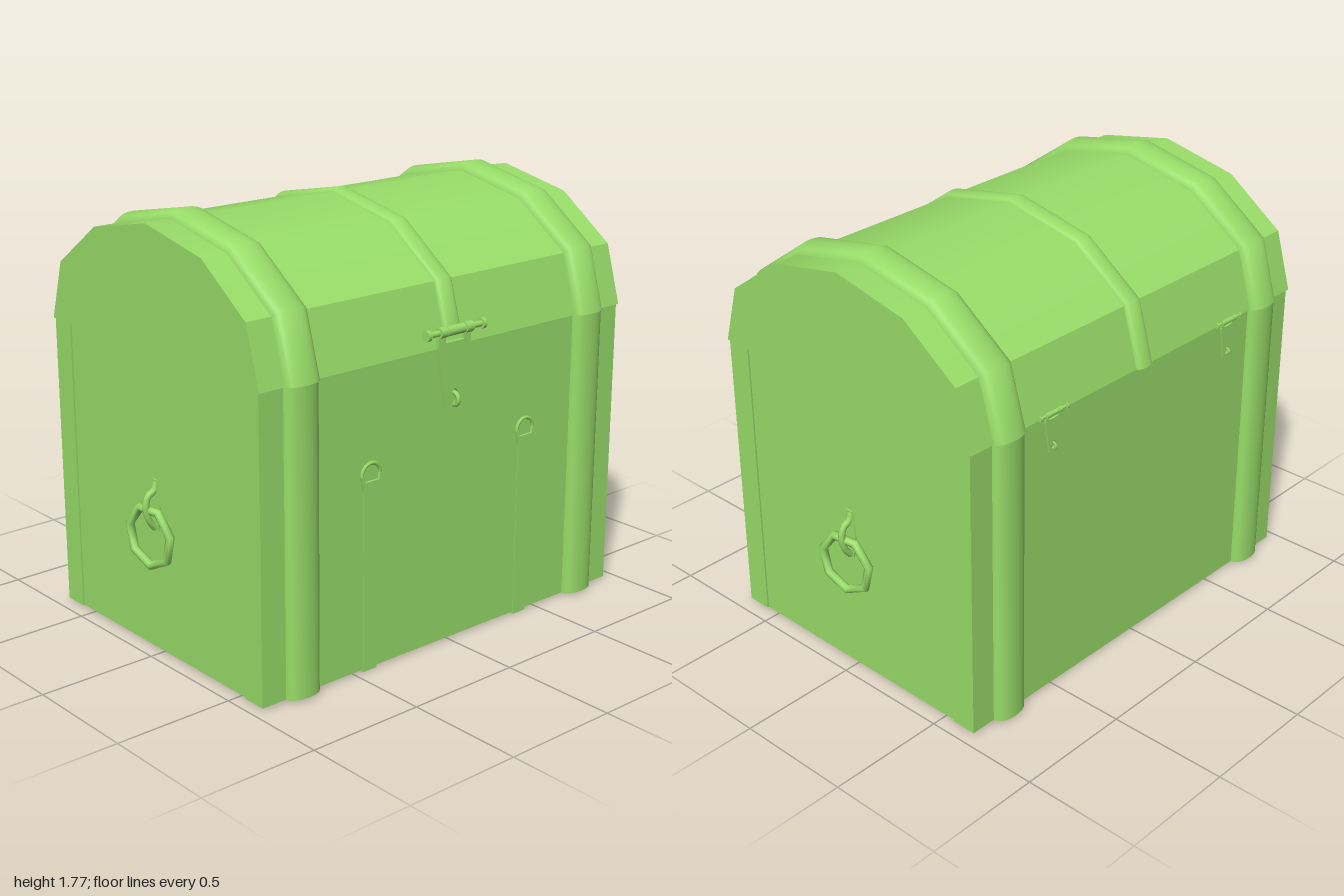
import * as THREE from 'three';
import { toCreasedNormals } from 'three/addons/utils/BufferGeometryUtils.js';

const material = new THREE.MeshStandardMaterial({ color: 0x99dd69, side: THREE.DoubleSide });

// Half outline of the lid arch as [z, y], from the front edge to the crown
const ARCH = [[0.672, 1.24], [0.6, 1.485], [0.345, 1.668], [0, 1.738]];
const FULL_ARCH = [...ARCH, ...ARCH.slice(0, 3).reverse().map(([z, y]) => [-z, y])];

function add(parent, name, geometry, x = 0, y = 0, z = 0) {
  const mesh = new THREE.Mesh(geometry, material);
  mesh.name = name;
  mesh.position.set(x, y, z);
  parent.add(mesh);
  return mesh;
}

function polygon(points) {
  return new THREE.Shape(points.map(([x, y]) => new THREE.Vector2(x, y)));
}

function extrude(shape, depth) {
  return new THREE.ExtrudeGeometry(shape, { depth, bevelEnabled: false, steps: 1 });
}

// Mitred outward direction at each point of a [z, y] path; the ends point straight out
function outward(path) {
  const normal = (a, b) => new THREE.Vector2(b[1] - a[1], a[0] - b[0]).normalize();
  return path.map((p, i) => {
    if (i === 0) return new THREE.Vector2(1, 0);
    if (i === path.length - 1) return new THREE.Vector2(-1, 0);
    const a = normal(path[i - 1], p);
    const n = a.clone().add(normal(p, path[i + 1])).normalize();
    return n.divideScalar(n.dot(a));
  });
}

// Strap with a domed cross-section, swept along a [z, y] path
function strapGeometry(path, normals, width, depth) {
  const n = 10, positions = [], index = [];
  path.forEach(([z, y], i) => {
    for (let j = 0; j <= n; j++) {
      const a = Math.PI * j / n;
      const lift = depth * Math.pow(Math.sin(a), 0.7) - 0.004;
      positions.push(-Math.cos(a) * width / 2, y + normals[i].y * lift, z + normals[i].x * lift);
    }
  });
  for (let i = 0; i < path.length - 1; i++) {
    for (let j = 0; j < n; j++) {
      const a = i * (n + 1) + j, b = a + n + 1;
      index.push(a, a + 1, b, a + 1, b + 1, b);
    }
  }
  const last = (path.length - 1) * (n + 1);
  for (let j = 1; j < n; j++) {
    index.push(0, j + 1, j, last, last + j, last + j + 1);
  }
  const g = new THREE.BufferGeometry();
  g.setAttribute('position', new THREE.Float32BufferAttribute(positions, 3));
  g.setIndex(index);
  return toCreasedNormals(g, 0.75);
}

function rod(radius, length) {
  return new THREE.CylinderGeometry(radius, radius, length, 10).rotateZ(Math.PI / 2);
}

// Tapered plate hanging from a cross pin, used for the clasp and the hinges
function taperedFitting(name, s) {
  const g = new THREE.Group();
  g.name = name;
  const plate = polygon([[-0.085, -0.06], [-0.04, -0.33], [0.04, -0.33], [0.085, -0.06],
    [0.085, 0.0], [0.05, 0.0], [0.05, -0.045], [-0.05, -0.045], [-0.05, 0.0], [-0.085, 0.0]]);
  const slot = new THREE.Path();
  slot.absellipse(0, -0.27, 0.024, 0.035, 0, Math.PI * 2);
  plate.holes.push(slot);
  add(g, 'taperedPlate', extrude(plate, 0.016), 0, 0, 0);
  add(g, 'pin', rod(0.012, 0.3), 0, 0, 0.014);
  for (const side of [-1, 1]) {
    add(g, 'knuckle', rod(0.022, 0.036), side * 0.068, 0, 0.014);
    add(g, 'pinHead', rod(0.022, 0.016), side * 0.145, 0, 0.014);
  }
  add(g, 'centreKnuckle', rod(0.02, 0.09), 0, 0, 0.014);
  add(g, 'staple', new THREE.TorusGeometry(0.024, 0.011, 6, 12, Math.PI)
    .rotateZ(-Math.PI / 2).rotateY(-Math.PI / 2), 0, -0.275, 0.016);
  g.scale.setScalar(s);
  return g;
}

// Seven-sided ring hanging from a curved hook, for the +x end
function handle() {
  const g = new THREE.Group();
  g.name = 'handle';
  const ring = add(g, 'handleRing', new THREE.TorusGeometry(0.122, 0.018, 8, 7)
    .rotateZ(-Math.PI / 2).rotateY(Math.PI / 2), 0.972, 0.5, 0);
  ring.rotation.y = 0.1;
  const curve = new THREE.CatmullRomCurve3([[0.935, 0.72], [0.948, 0.685], [0.975, 0.67],
    [0.987, 0.63], [0.975, 0.57], [0.945, 0.53]].map(([x, y]) => new THREE.Vector3(x, y, 0)));
  add(g, 'handleHook', new THREE.TubeGeometry(curve, 14, 0.014, 8));
  add(g, 'hookPlate', extrude(polygon([[0, 0.73], [-0.016, 0.73], [-0.03, 0.62], [-0.016, 0.52],
    [0.016, 0.52], [0.03, 0.62], [0.016, 0.73]]), 0.014).rotateY(Math.PI / 2), 0.93, 0, 0);
  return g;
}

export function createModel() {
  const chest = new THREE.Group();
  chest.name = 'chest';

  // Body: shallow recess between the corner posts on each end, recessed underside
  const footprint = () => polygon([[-0.945, -0.662], [0.945, -0.662], [0.945, -0.555], [0.938, -0.555],
    [0.938, 0.555], [0.945, 0.555], [0.945, 0.662], [-0.945, 0.662], [-0.945, 0.555],
    [-0.938, 0.555], [-0.938, -0.555], [-0.945, -0.555]]);
  add(chest, 'body', extrude(footprint(), 1.208).rotateX(-Math.PI / 2), 0, 0.032, 0);
  const rim = footprint();
  rim.holes.push(new THREE.Path([[-0.85, -0.575], [-0.85, 0.575], [0.85, 0.575], [0.85, -0.575]]
    .map(([x, y]) => new THREE.Vector2(x, y))));
  add(chest, 'baseRim', extrude(rim, 0.022).rotateX(-Math.PI / 2), 0, 0.01, 0);

  // Arched lid
  const lid = extrude(polygon(FULL_ARCH.map(([z, y]) => [-z, y])), 1.896).rotateY(Math.PI / 2);
  add(chest, 'lid', toCreasedNormals(lid, 0.52), -0.948, 0, 0);

  // Wide straps over the lid and down the front and back
  const archNormals = outward(FULL_ARCH);
  for (const x of [-0.756, 0.756]) {
    add(chest, 'lidStrap', strapGeometry(FULL_ARCH, archNormals, 0.156, 0.04), x);
    for (const turn of [0, Math.PI]) {
      const path = [[0.66, 0.01], [0.66, 1.24]];
      const out = path.map(() => new THREE.Vector2(1, 0));
      add(chest, 'bodyStrap', strapGeometry(path, out, 0.156, 0.05), x).rotation.y = turn;
      if (turn) chest.children.at(-1).position.x = x;
    }
  }

  // Narrow centre strap, stopping at the clasp in front
  const centrePath = [[0.655, 1.3], ...FULL_ARCH.slice(1)];
  add(chest, 'centreStrap', strapGeometry(centrePath, outward(centrePath), 0.09, 0.022));

  // Clasp in front and two hinges behind
  const clasp = taperedFitting('clasp', 1);
  clasp.position.set(-0.006, 1.305, 0.668);
  chest.add(clasp);
  for (const x of [-0.525, 0.525]) {
    const hinge = taperedFitting('hinge', 0.5);
    hinge.position.set(x, 1.25, -0.672);
    hinge.rotation.y = Math.PI;
    chest.add(hinge);
  }

  // Buckle loops with flat straps running to the floor
  for (const x of [-0.415, 0.415]) {
    add(chest, 'buckleLoop', new THREE.TorusGeometry(0.046, 0.008, 6, 10, Math.PI), x, 0.81, 0.664);
    add(chest, 'bucklePlate', extrude(polygon([[-0.054, 0.81], [-0.04, 0.75], [0.04, 0.75],
      [0.054, 0.81], [0.04, 0.81], [0.035, 0.785], [-0.035, 0.785], [-0.04, 0.81]]), 0.012), x, 0, 0.66);
    add(chest, 'flatStrap', new THREE.BoxGeometry(0.07, 0.77, 0.025), x, 0.385, 0.652);
  }

  // Ring handles on both ends
  for (const turn of [0, Math.PI]) {
    const h = handle();
    h.rotation.y = turn;
    chest.add(h);
  }

  chest.position.set(-0.004, 0, -0.006);
  chest.rotation.y = -0.007;
  const model = new THREE.Group();
  model.name = 'model';
  model.add(chest);
  return model;
}
